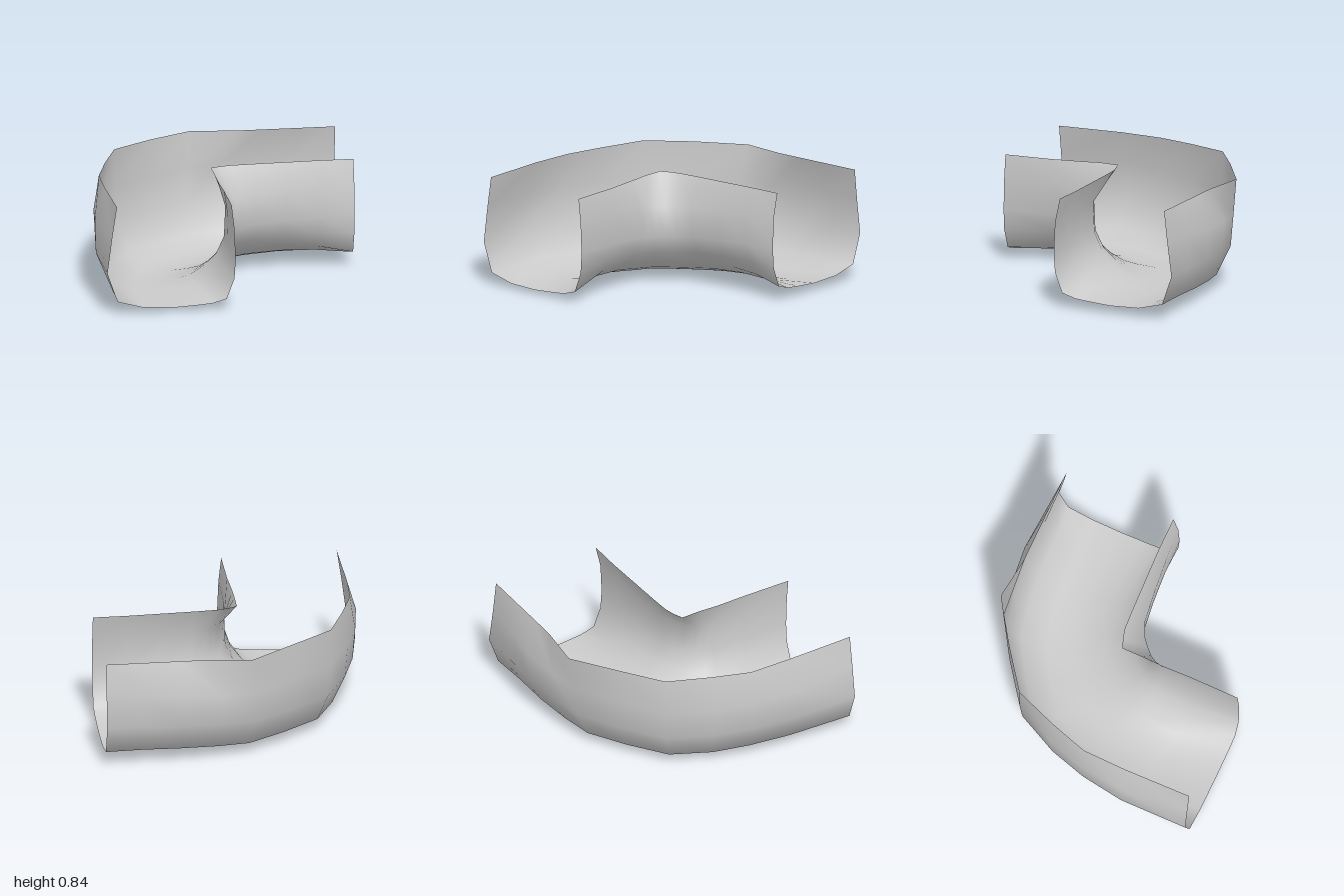
import * as THREE from 'three';

// Stations along the 90 degree bend, from the front opening to the left opening.
// Each: outer rim, outer wall, inner wall, inner rim (x, z pairs),
// rim heights, floor height, roundness (0 at the openings, 1 in the bend).
const stations = [
  [-0.91, 0.97, -0.98, 0.97, -0.03, 0.97, -0.06, 0.97, 0.81, 0.79, 0.03, 0],
  [-0.92, 0.45, -1.00, 0.45, -0.03, 0.60, -0.06, 0.60, 0.82, 0.80, 0.02, 0.8],
  [-0.91, 0.12, -0.95, 0.12, -0.01, 0.35, -0.07, 0.35, 0.82, 0.81, 0.01, 1],
  [-0.82, -0.17, -0.86, -0.17, 0.01, 0.28, -0.07, 0.20, 0.83, 0.82, 0.00, 1],
  [-0.70, -0.49, -0.70, -0.49, 0.04, 0.23, -0.07, 0.05, 0.84, 0.82, 0.00, 1],
  [-0.40, -0.71, -0.40, -0.71, 0.09, 0.18, 0.00, 0.02, 0.84, 0.82, 0.00, 1],
  [-0.07, -0.93, -0.10, -0.89, 0.15, 0.13, 0.08, 0.00, 0.83, 0.82, 0.00, 1],
  [0.27, -0.89, 0.15, -0.94, 0.26, 0.08, 0.25, -0.01, 0.83, 0.82, 0.01, 1],
  [0.46, -0.89, 0.43, -0.97, 0.50, 0.05, 0.50, -0.02, 0.83, 0.82, 0.025, 0.9],
  [0.73, -0.89, 0.73, -0.96, 0.75, 0.03, 0.75, -0.03, 0.83, 0.82, 0.04, 0.6],
  [1.00, -0.89, 1.00, -0.95, 1.00, 0.02, 1.00, -0.03, 0.83, 0.82, 0.06, 0],
];

// U profiles below the rims: fraction from outer to inner wall, height above the floor
const openingProfile = [
  [0.037, 0.55], [0, 0.28], [0.08, 0.06], [0.28, 0.01], [0.52, 0],
  [0.70, 0.01], [0.82, 0.02], [0.93, 0.05], [0.99, 0.20], [1, 0.35], [0.99, 0.58],
];
const bendProfile = [
  [0, 0.55], [0.02, 0.31], [0.12, 0.09], [0.30, 0.02], [0.48, 0],
  [0.63, 0.04], [0.74, 0.08], [0.84, 0.15], [0.93, 0.24], [0.99, 0.37], [1, 0.60],
];

const { lerp } = THREE.MathUtils;

function section([rx, rz, ox, oz, ix, iz, sx, sz, rimO, rimI, floor, round]) {
  const wall = openingProfile.map(([t0, y0], k) => {
    const t = lerp(t0, bendProfile[k][0], round);
    const y = lerp(y0, bendProfile[k][1], round);
    return [lerp(ox, ix, t), floor + y, lerp(oz, iz, t)];
  });
  return [[rx, rimO, rz], ...wall, [sx, rimI, sz]];
}

export function createModel() {
  const group = new THREE.Group();
  group.name = 'curvedChannel';

  // Skin the cross-sections into one thin open sheet
  const rows = stations.map(section);
  const n = rows[0].length;
  const index = [];
  for (let i = 0; i < rows.length - 1; i++) {
    for (let j = 0; j < n - 1; j++) {
      const a = i * n + j, b = a + 1, c = a + n, d = c + 1;
      index.push(a, b, c, b, d, c);
    }
  }
  const geometry = new THREE.BufferGeometry();
  geometry.setAttribute('position', new THREE.Float32BufferAttribute(rows.flat(2), 3));
  geometry.setIndex(index);
  geometry.computeVertexNormals();

  const channel = new THREE.Mesh(
    geometry,
    new THREE.MeshStandardMaterial({ color: 0xcccccc, side: THREE.DoubleSide })
  );
  channel.name = 'channelWall';
  group.add(channel);
  return group;
}
